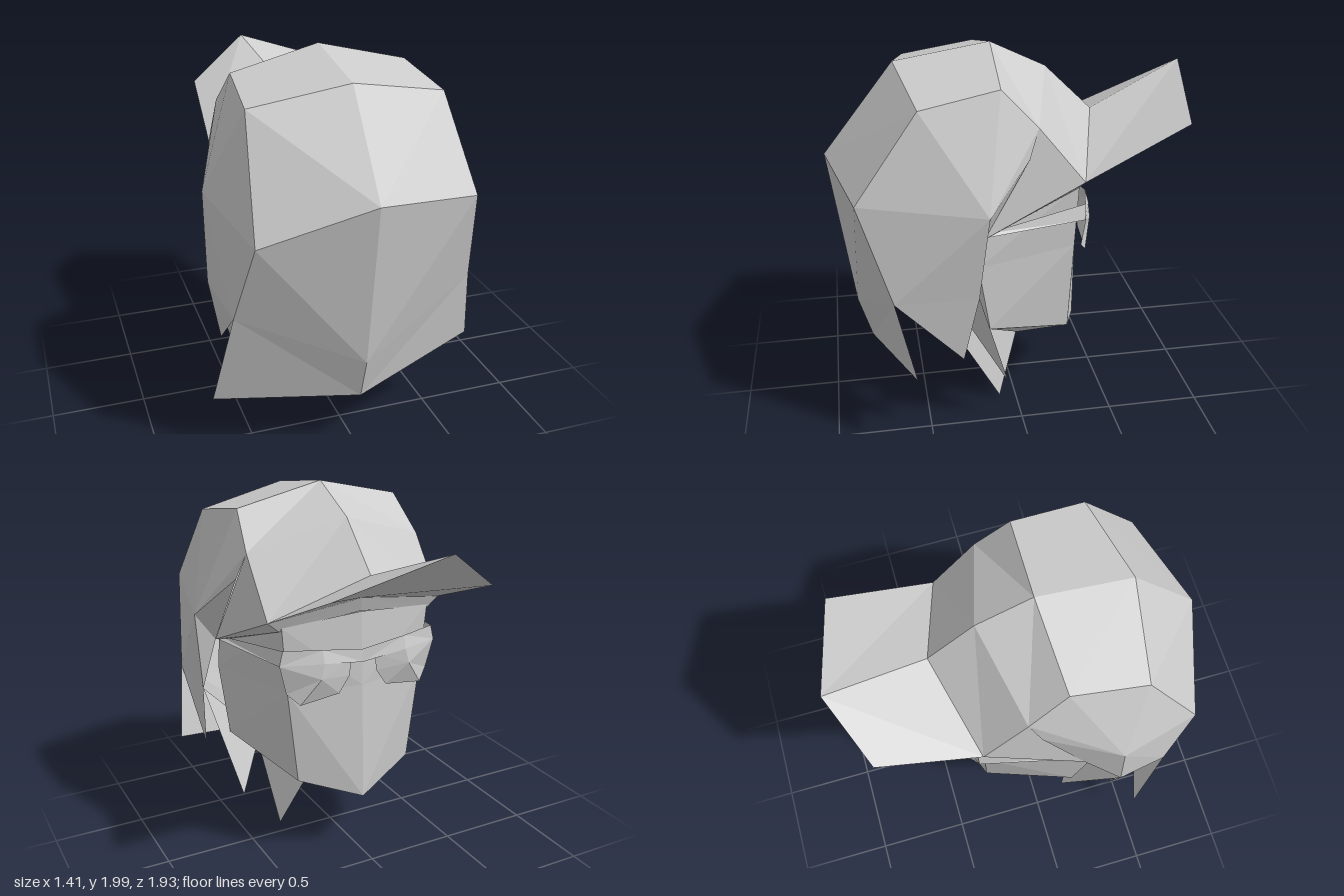
import * as THREE from 'three';

const grey = new THREE.MeshStandardMaterial({ color: 0xcccccc, flatShading: true, side: THREE.DoubleSide });
grey.name = 'plainGrey';

// Faceted surface from a list of triangles, each three [x, y, z] corners
function facets(name, tris) {
  const g = new THREE.BufferGeometry();
  g.setAttribute('position', new THREE.Float32BufferAttribute(tris.flat(2), 3));
  g.computeVertexNormals();
  const mesh = new THREE.Mesh(g, grey);
  mesh.name = name;
  return mesh;
}

// Triangles joining successive cross-sections of equal length
function loft(rows) {
  const tris = [];
  for (let r = 0; r < rows.length - 1; r++) {
    for (let c = 0; c < rows[r].length - 1; c++) {
      const a = rows[r][c], b = rows[r][c + 1], d = rows[r + 1][c], e = rows[r + 1][c + 1];
      if (c % 2) tris.push([a, d, b], [b, d, e]);
      else tris.push([a, d, e], [a, e, b]);
    }
  }
  return tris;
}

const flip = ([x, y, z]) => [-x, y, z];
// Complete a half section that ends on the centre line
const mirrorRow = (half) => [...half, ...half.slice(0, -1).reverse().map(flip)];

export function createModel() {
  const model = new THREE.Group();
  model.name = 'cappedHead';

  // Crown sections running from the bill over the top and down the back
  const front = [[-0.49, 1.40, -0.31], [0.01, 1.615, -0.45], [0.51, 1.40, -0.31]];
  const brow = [[-0.49, 1.70, -0.08], [0.01, 1.86, -0.20], [0.51, 1.70, -0.07]];
  const top = [[-0.46, 1.89, 0.12], [0.01, 2.0, 0.09], [0.48, 1.89, 0.11]];
  const rear = [[-0.49, 1.82, 0.51], [0.01, 1.92, 0.59], [0.52, 1.82, 0.51]];
  const back = [[-0.54, 1.25, 0.82], [0.01, 1.445, 0.965], [0.57, 1.38, 0.83]];
  const nape = [[-0.62, 0.83, 0.68], [0.01, 0.56, 0.85], [0.64, 0.87, 0.67]];
  const hem = [[-0.71, 0.30, 0.54], [0.01, 0.325, 0.78], [0.70, 0.455, 0.575]];
  model.add(facets('capCrown', loft([front, brow, top, rear])));
  model.add(facets('backHair', loft([rear, back, nape, hem])));

  // Turned-up bill, wedge-shaped towards the forehead
  const tip = [[-0.45, 1.60, -0.83], [-0.12, 1.825, -0.97], [0.45, 1.65, -0.86]];
  const under = [front[0], [0.01, 1.48, -0.37], front[2]];
  model.add(facets('capBill', loft([front, tip, under])));

  // Side hair: wide temple panel, edge strip, cap flap and hanging lock
  const sides = [
    { name: 'rightSideHair', i: 0, F: [-0.68, 1.385, 0.37], H: [-0.68, 0.91, 0.40], S: [-0.61, 0.54, 0.34],
      K: [-0.53, 1.56, -0.02], J: [-0.60, 1.17, 0.20], T: [-0.50, 0.37, 0.14], R: [-0.32, 0.58, 0.28] },
    { name: 'leftSideHair', i: 2, F: [0.705, 1.33, 0.20], H: [0.66, 0.88, 0.25], S: [0.63, 0.51, 0.33],
      K: [0.55, 1.56, -0.02], J: [0.59, 1.17, 0.21], T: [0.51, 0.26, 0.08], R: [0.32, 0.53, 0.27] },
  ];
  for (const { name, i, F, H, S, K, J, T, R } of sides) {
    const G = brow[i], A = top[i], B = rear[i], C = back[i], E = nape[i];
    const tris = [
      [A, B, F], [G, A, F], [B, C, F], [C, E, F], [F, E, H], [E, S, H],
      [G, F, K], [K, F, J], [F, H, J], [G, J, front[i]], [H, R, T],
    ];
    // wind the +x side outward
    model.add(facets(name, i ? tris.map(([a, b, c]) => [a, c, b]) : tris));
  }

  // Pointed locks hanging behind the jaw
  model.add(facets('napeLocks', [
    [[0.09, 0.53, -0.09], [0.285, 0.01, 0.09], [0.32, 0.55, 0.38]],
    [[-0.26, 0.56, 0.12], [-0.31, 0.115, 0.13], [0.45, 0.53, 0.38]],
  ]));

  // Head: skull and face sections, then the underside of the jaw
  const skull = mirrorRow([[-0.28, 1.30, 0.45], [-0.56, 1.26, 0.22], [-0.43, 1.36, -0.30], [0, 1.40, -0.35]]);
  const cheek = mirrorRow([[-0.28, 0.95, 0.45], [-0.57, 1.0, 0.24], [-0.40, 1.0, -0.29], [0, 1.0, -0.365]]);
  const jaw = mirrorRow([[-0.28, 0.60, 0.36], [-0.54, 0.62, 0.18], [-0.34, 0.475, -0.28], [0, 0.35, -0.39]]);
  const throat = mirrorRow([[-0.25, 0.58, 0.33], [-0.355, 0.485, 0.075], [-0.17, 0.35, -0.03], [0, 0.35, -0.03]]);
  model.add(facets('head', loft([skull, cheek, jaw, throat])));
  model.add(facets('backOfHead', loft([skull, cheek, jaw].map((r) => [r[6], r[0]]))));

  // Lining between the lower edge of the cap and the forehead
  model.add(facets('capLining', loft([
    [sides[0].J, ...under, sides[1].J],
    mirrorRow([[-0.56, 1.17, 0.19], [-0.44, 1.34, -0.29], [0, 1.40, -0.34]]),
  ])));

  // Glasses: thin band from ear to ear and two drooping lenses
  const glasses = new THREE.Group();
  glasses.name = 'glasses';
  glasses.add(facets('glassesBand', loft([
    mirrorRow([[-0.57, 1.19, 0.20], [-0.44, 1.25, -0.33], [-0.24, 1.24, -0.38], [0, 1.20, -0.365]]),
    mirrorRow([[-0.585, 1.175, 0.20], [-0.46, 1.17, -0.33], [-0.24, 1.17, -0.40], [0, 1.13, -0.37]]),
  ])));
  const rim = [[0.07, 1.16, -0.37], [0.08, 1.07, -0.37], [0.14, 0.98, -0.37],
    [0.36, 0.95, -0.36], [0.42, 1.01, -0.32], [0.46, 1.17, -0.33], [0.24, 1.17, -0.40]];
  const bulge = [0.26, 1.09, -0.405];
  const lens = rim.map((p, k) => [bulge, p, rim[(k + 1) % rim.length]]);
  glasses.add(facets('leftLens', lens));
  glasses.add(facets('rightLens', lens.map(([a, b, c]) => [flip(a), flip(c), flip(b)])));
  model.add(glasses);

  return model;
}
